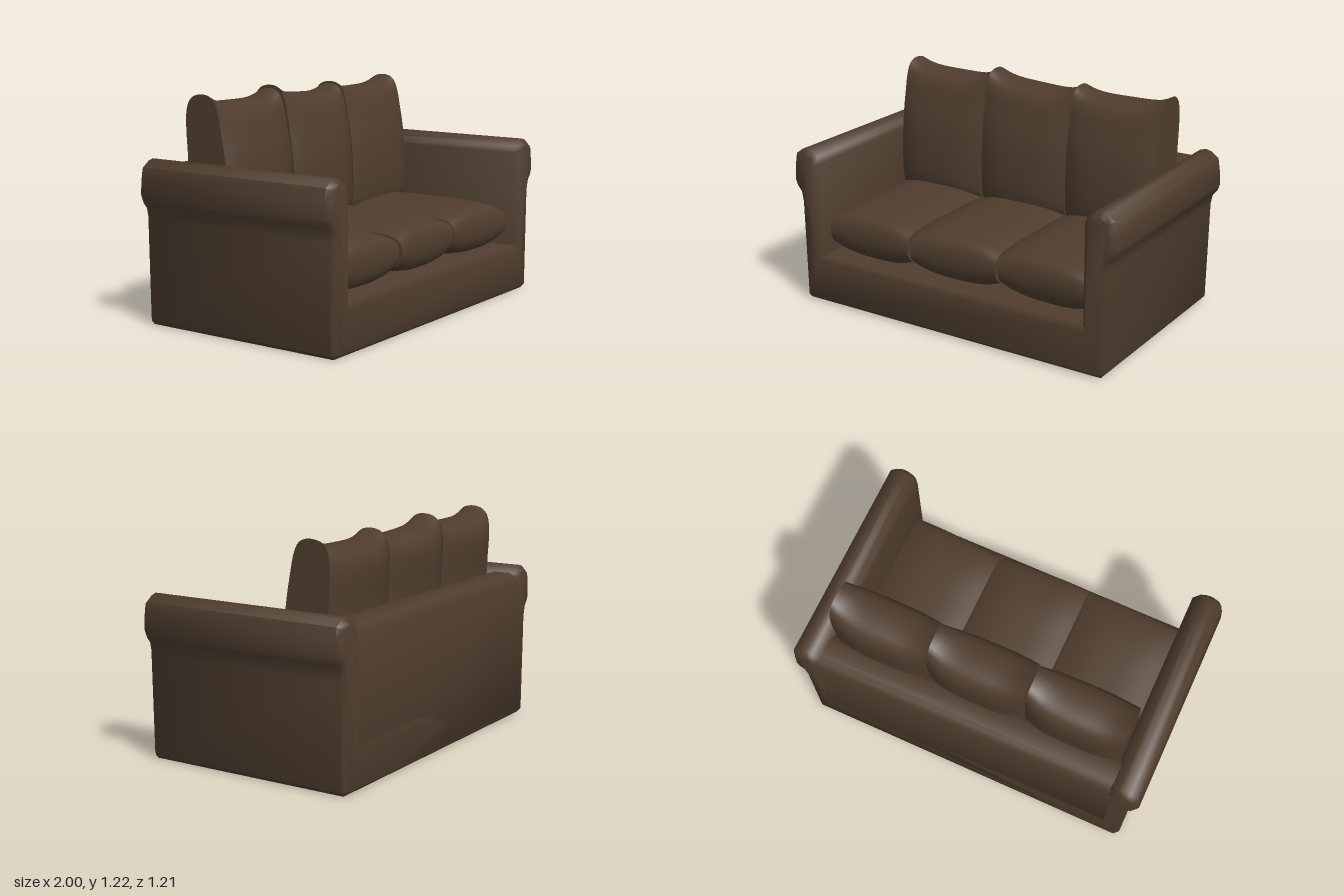
import * as THREE from 'three';
import { toCreasedNormals } from 'three/addons/utils/BufferGeometryUtils.js';

const shapeOf = (points) => new THREE.Shape(points.map(([x, y]) => new THREE.Vector2(x, y)));

// Loft a side profile of [z, y] points along x, then reshape every section by rule(u, z, y), u = -1..1
function cushionGeometry(profile, width, rule) {
  const spline = new THREE.CatmullRomCurve3(profile.map(([z, y]) => new THREE.Vector3(-z, y, 0)), true, 'centripetal');
  const outline = spline.getPoints(44).slice(0, -1).map((p) => [p.x, p.y]);
  const geo = new THREE.ExtrudeGeometry(shapeOf(outline), { depth: 2, steps: 16, bevelEnabled: false });
  geo.translate(0, 0, -1).rotateY(Math.PI / 2);
  const pos = geo.attributes.position;
  for (let i = 0; i < pos.count; i++) {
    const u = pos.getX(i);
    const [z, y] = rule(u, pos.getZ(i), pos.getY(i));
    pos.setXYZ(i, u * width / 2, y, z);
  }
  return toCreasedNormals(geo, 0.8);
}

export function createModel() {
  const group = new THREE.Group();
  const fabric = new THREE.MeshStandardMaterial({ color: 0x4f3d2e });
  fabric.name = 'brown fabric';
  const add = (name, geo, x = 0) => {
    const mesh = new THREE.Mesh(geo, fabric);
    mesh.name = name;
    mesh.position.x = x;
    group.add(mesh);
  };

  // Base and rolled arms: one U-shaped outline, bevelled front and back
  const half = [
    [0.925, 0], [0.943, 0.02], [0.95, 0.57], [0.96, 0.62], [0.985, 0.65], [1, 0.69],
    [0.993, 0.77], [0.982, 0.835], [0.94, 0.865], [0.91, 0.873], [0.875, 0.865],
    [0.835, 0.835], [0.82, 0.8], [0.82, 0.265],
  ];
  const mirrored = half.map(([x, y]) => [-x, y]).reverse();
  const frame = new THREE.ExtrudeGeometry(shapeOf([...half, ...mirrored]), {
    depth: 1.156, bevelThickness: 0.027, bevelSize: 0.025, bevelOffset: -0.025, bevelSegments: 1,
  });
  frame.translate(0, 0, -0.578);
  add('baseAndArms', toCreasedNormals(frame, 0.9));

  // Backrest panel with a rounded top, flush with the rear
  const back = new THREE.ExtrudeGeometry(shapeOf([
    [0.4, 0.1], [0.4, 0.78], [0.42, 0.82], [0.46, 0.835], [0.55, 0.835],
    [0.585, 0.82], [0.605, 0.78], [0.605, 0.03], [0.58, 0.004],
  ]), { depth: 1.8, bevelEnabled: false });
  back.translate(0, 0, -0.9).rotateY(Math.PI / 2);
  add('backrest', toCreasedNormals(back, 0.9));

  const seatProfile = [
    [0.47, 0.275], [0.515, 0.33], [0.525, 0.42], [0.5, 0.49], [0.4, 0.525],
    [0.1, 0.535], [-0.2, 0.53], [-0.42, 0.5], [-0.44, 0.3], [-0.38, 0.27], [0.1, 0.265],
  ];
  const backProfile = [
    [-0.14, 0.49], [-0.115, 0.56], [-0.115, 0.74], [-0.13, 0.88], [-0.165, 1.03], [-0.195, 1.13],
    [-0.23, 1.18], [-0.29, 1.203], [-0.4, 1.195], [-0.45, 1.16], [-0.472, 1.09],
    [-0.46, 0.87], [-0.43, 0.5], [-0.28, 0.48],
  ];

  // Three seat and back cushions: x centre, slant of the seat front, tilt of the top edge
  const cushions = [
    ['right', -0.55, 0.005, -0.003],
    ['middle', 0, -0.007, -0.014],
    ['left', 0.545, 0.012, 0.003],
  ];
  for (const [side, x, slant, tilt] of cushions) {
    add(side + 'SeatCushion', cushionGeometry(seatProfile, 0.528, (u, z, y) => {
      const puff = 1 - Math.abs(u) ** 3;
      return [z + slant * u, 0.402 + (y - 0.402) * (0.68 + 0.32 * puff)];
    }), x);
    // Pillows bulge in the middle and rise to pinched top corners
    add(side + 'BackCushion', cushionGeometry(backProfile, 0.536, (u, z, y) => {
      const puff = 1 - Math.abs(u) ** 3;
      const top = THREE.MathUtils.smoothstep(y, 0.8, 1.2);
      return [-0.29 + (z + 0.29) * (0.75 + 0.25 * puff), y + top * (tilt * u - 0.043 * (1 - u ** 4))];
    }), x);
  }
  return group;
}
